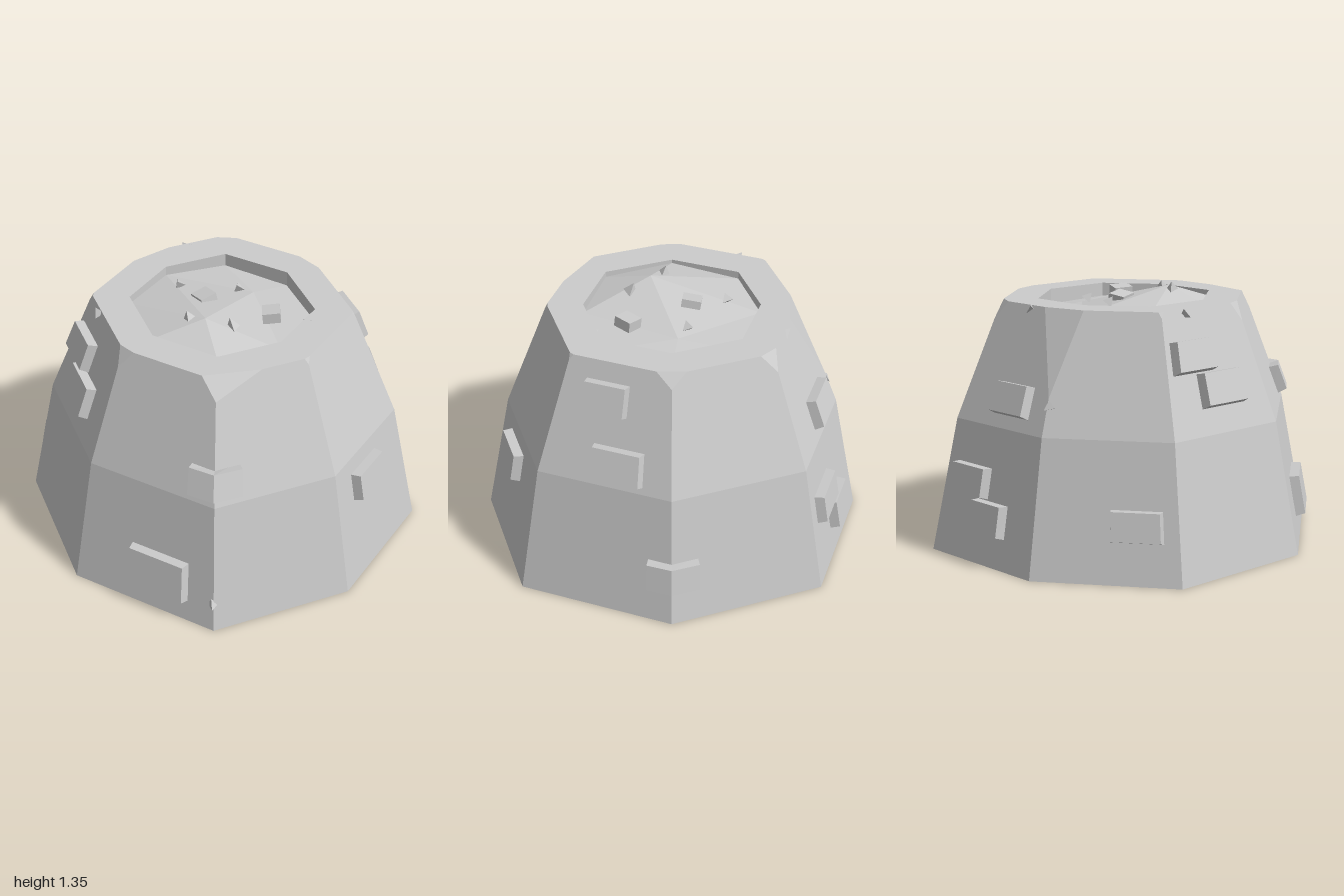
import * as THREE from 'three';

const MAT = new THREE.MeshStandardMaterial({ color: 0xcccccc, flatShading: true });
const TOP = 1.27, MID = 0.68;
const V = (x, y, z) => new THREE.Vector3(x, y, z);

// Octagon corners, counter-clockwise from the front seen from above
const CORNERS = [[0, 0.99], [0.77, 0.71], [1, 0], [0.77, -0.71], [0, -0.99], [-0.77, -0.71], [-1, 0], [-0.77, 0.71]];

// Wall scale at a height: steep below the middle ring, leaning in above it
const scaleAt = y => y < MID ? 1 - 0.135 * y / MID : 0.865 - 0.23 * (y - MID) / (TOP - MID);

// Point on the octagon: t counts corners, its fraction runs along a side
function ring(t, y, s = scaleAt(y)) {
  t = (t + 8) % 8;
  const k = Math.floor(t), u = t - k, a = CORNERS[k], b = CORNERS[(k + 1) % 8];
  return V((a[0] + (b[0] - a[0]) * u) * s, y, (a[1] + (b[1] - a[1]) * u) * s);
}

// Outward normal of the wall at t, y
function wallNormal(t, y) {
  const e = 0.02, along = ring(t + e, y).sub(ring(t - e, y));
  const up = ring(t, y + e).sub(ring(t, y - e));
  return along.cross(up).normalize();
}

function mesh(name, geometry) {
  const m = new THREE.Mesh(geometry, MAT);
  m.name = name;
  return m;
}

// Mesh from convex polygons, each cut into a fan
function polyMesh(name, polys) {
  const pts = [];
  for (const p of polys)
    for (let i = 1; i < p.length - 1; i++) pts.push(p[0], p[i], p[i + 1]);
  const g = new THREE.BufferGeometry().setFromPoints(pts);
  g.computeVertexNormals();
  return mesh(name, g);
}

// Corner chips at the rim: width before, width after, lowest height
const CHIPS = [[0.08, 0.12, 1.18], [0.15, 0.5, 1.17], [0.03, 0.05, 1.24], [0.03, 0.03, 1.24],
  [0.15, 0.15, 1.2], [0.12, 0.12, 1.18], [0.3, 0.2, 0.86], [0.03, 0.03, 1.24]];

function body() {
  const polys = [], rim = [], base = [];
  for (let k = 0; k < 8; k++) {
    const n = (k + 1) % 8, chip = CHIPS[k], next = CHIPS[n];
    const a = ring(k - chip[0], TOP), b = ring(k + chip[1], TOP), low = ring(k, chip[2]);
    polys.push([ring(k, 0), ring(n, 0), ring(n, MID), ring(k, MID)]);
    polys.push([ring(k, MID), ring(n, MID), ring(n, next[2]), ring(k + 1 - next[0], TOP), b, low]);
    polys.push([low, b, a]);
    rim.push(a, b);
    base.unshift(ring(k, 0));
  }
  polys.push(base);
  const g = new THREE.Group();
  g.name = 'body';
  g.add(polyMesh('walls', polys));

  // Flat rim with the crater opening
  const flat = p => new THREE.Vector2(p.x, -p.z);
  const shape = new THREE.Shape(rim.map(flat));
  shape.holes.push(new THREE.Path(CORNERS.map((c, k) => flat(ring(k, TOP, 0.45)))));
  const lid = mesh('rim', new THREE.ShapeGeometry(shape).rotateX(-Math.PI / 2));
  lid.position.y = TOP;
  g.add(lid);
  return g;
}

// Shallow crater with a rough mound rising towards the front
function crater() {
  const heights = [1.25, 1.24, 1.22, 1.2, 1.19, 1.2, 1.22, 1.23];
  const edge = heights.map((h, k) => ring(k, h, 0.45));
  const peak = V(0.11, 1.32, 0.2), dip = V(-0.03, 1.22, -0.24);
  const polys = [[dip, edge[6], peak], [peak, edge[2], dip]];
  for (let k = 0; k < 8; k++) {
    const n = (k + 1) % 8;
    polys.push([k >= 2 && k < 6 ? dip : peak, edge[k], edge[n]]);
    polys.push([edge[n], edge[k], ring(k, TOP, 0.45), ring(n, TOP, 0.45)]);
  }
  return polyMesh('crater', polys);
}

// Raised brick following the wall through the given stations
function brick(stations, y0, y1) {
  const mid = (y0 + y1) / 2, last = stations.length - 1;
  const sections = stations.map((t, i) => {
    const n = wallNormal(t, mid);
    const inset = i === 0 ? 0.02 : i === last ? -0.02 : 0;
    const at = (u, y, d) => ring(u, y).addScaledVector(n, d);
    return [at(t, y0, -0.03), at(t + inset, y0 + 0.01, 0.05), at(t + inset, y1 - 0.01, 0.05), at(t, y1, -0.03)];
  });
  const polys = [sections[0], [...sections[last]].reverse()];
  for (let i = 0; i < last; i++)
    for (let j = 0; j < 4; j++) {
      const a = sections[i], b = sections[i + 1], m = (j + 1) % 4;
      polys.push([a[j], b[j], b[m], a[m]]);
    }
  return polyMesh('brick', polys);
}

export function createModel() {
  const model = new THREE.Group();
  model.name = 'stump';
  model.add(body(), crater());

  const bricks = new THREE.Group();
  bricks.name = 'bricks';
  [
    [[7.05, 7.5], 0.97, 1.13], [[7.3, 7.74], 0.8, 0.97],    // front, upper pair
    [[0.38, 0.82], 0.11, 0.33],                             // front, low
    [[0.8, 1, 1.23], 0.71, 0.86],                           // bent round the front corner
    [[2.22, 2.62], 0.44, 0.6],                              // +x side
    [[3.2, 3.62], 1.02, 1.18], [[3.37, 3.79], 0.71, 0.88],  // back, upper pair
    [[3.83, 4, 4.19], 0.18, 0.34],                          // bent round the back corner
    [[5.4, 5.82], 0.74, 0.9],                               // -x side, upper
    [[5.38, 5.72], 0.15, 0.32], [[5.11, 5.5], 0.32, 0.48],  // -x side, stepped pair
    [[6.52, 6.9], 0.2, 0.36],                               // -x side, front
  ].forEach(([stations, y0, y1]) => bricks.add(brick(stations, y0, y1)));
  model.add(bricks);

  // Loose stones in the crater and small chips on the walls
  const stones = new THREE.Group();
  stones.name = 'stones';
  [
    [0.22, 1.255, -0.14, 0.09, 0.7], [-0.1, 1.265, 0.03, 0.09, 0.1],
  ].forEach(([x, y, z, s, turn]) => {
    const m = mesh('block', new THREE.BoxGeometry(s * 1.1, s * 0.6, s));
    m.position.set(x, y, z);
    m.rotation.set(0.15, -turn, 0.15);
    stones.add(m);
  });
  [
    [-0.08, 1.25, -0.18, 0.035], [-0.28, 1.27, 0.05, 0.035], [0.21, 1.285, 0.11, 0.045], [0.04, 1.315, 0.25, 0.035],
    [0.74, 0.15, 0.69, 0.035], [-0.35, 1.25, 0.51, 0.035], [-0.56, 1.25, -0.23, 0.035],
    [0.39, 1.25, -0.23, 0.03], [-0.8, 0.82, 0.01, 0.035],
  ].forEach(([x, y, z, r], i) => {
    const m = mesh('chip', new THREE.TetrahedronGeometry(r));
    m.position.set(x, y, z);
    m.rotation.set(i * 1.3, i * 2.1, 0.4);
    stones.add(m);
  });
  model.add(stones);
  return model;
}
